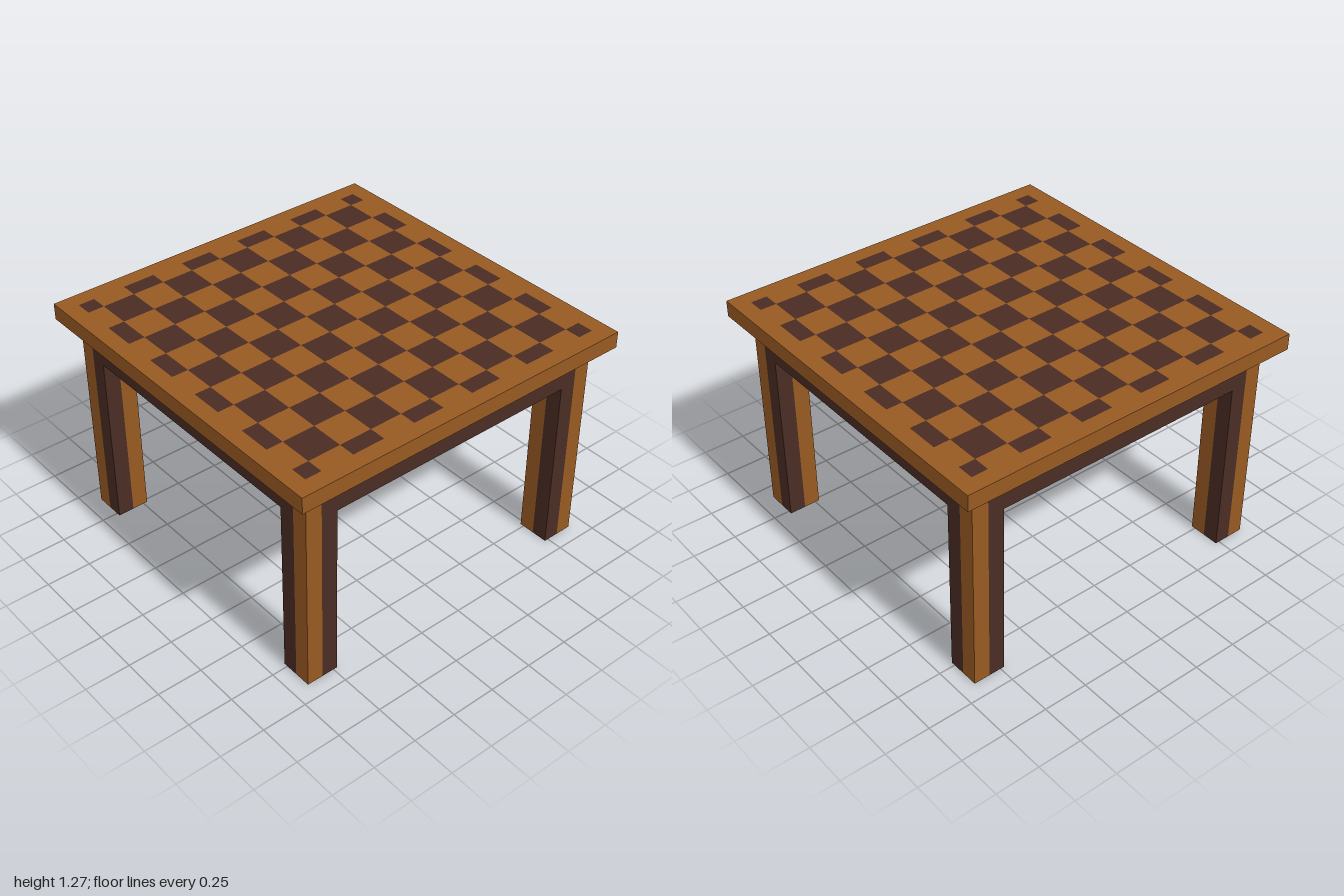
import * as THREE from 'three';
import { mergeGeometries } from 'three/addons/utils/BufferGeometryUtils.js';

const U = 1 / 11; // building module: the table is 22 modules wide, 14 high

export function createModel() {
  const lightWood = new THREE.MeshStandardMaterial({ color: 0x985a22 });
  lightWood.name = 'lightWood';
  const darkWood = new THREE.MeshStandardMaterial({ color: 0x4a2c24 });
  darkWood.name = 'darkWood';

  const table = new THREE.Group();
  table.name = 'table';

  function add(parent, name, geometry, material) {
    const mesh = new THREE.Mesh(geometry, material);
    mesh.name = name;
    parent.add(mesh);
    return mesh;
  }

  // Box given by its size and centre, in modules
  function box(w, h, d, x, y, z) {
    return new THREE.BoxGeometry(w * U, h * U, d * U).translate(x * U, y * U, z * U);
  }

  // Table top border: square frame around the checkered field
  const outline = new THREE.Shape();
  outline.moveTo(-11 * U, -11 * U).lineTo(11 * U, -11 * U).lineTo(11 * U, 11 * U).lineTo(-11 * U, 11 * U).closePath();
  const opening = new THREE.Path();
  opening.moveTo(-10 * U, -10 * U).lineTo(-10 * U, 10 * U).lineTo(10 * U, 10 * U).lineTo(10 * U, -10 * U).closePath();
  outline.holes.push(opening);
  const frame = new THREE.ExtrudeGeometry(outline, { depth: U, bevelEnabled: false });
  frame.rotateX(-Math.PI / 2).translate(0, 13 * U, 0);
  add(table, 'tableTopFrame', frame, lightWood);

  // Checkered field, same pattern above and below; outermost cells are half width
  const cells = { light: [], dark: [] };
  const span = (i) => [Math.max(2 * i - 1, -10), Math.min(2 * i + 1, 10)];
  for (let i = -5; i <= 5; i++) {
    for (let j = -5; j <= 5; j++) {
      const [x0, x1] = span(i);
      const [z0, z1] = span(j);
      const list = (i + j) % 2 === 0 ? cells.dark : cells.light;
      for (const [y, turn] of [[14, -1], [13, 1]]) {
        const cell = new THREE.PlaneGeometry((x1 - x0) * U, (z1 - z0) * U);
        cell.rotateX(turn * Math.PI / 2);
        list.push(cell.translate((x0 + x1) / 2 * U, y * U, (z0 + z1) / 2 * U));
      }
    }
  }
  add(table, 'lightSquares', mergeGeometries(cells.light), lightWood);
  add(table, 'darkSquares', mergeGeometries(cells.dark), darkWood);

  // Legs: four square staves each, light on the diagonal, dark beside it
  for (const sx of [-1, 1]) {
    for (const sz of [-1, 1]) {
      const leg = new THREE.Group();
      leg.name = (sz > 0 ? 'front' : 'back') + (sx > 0 ? 'Left' : 'Right') + 'Leg';
      const stave = (x, z) => box(1, 13, 1, sx * x, 6.5, sz * z);
      add(leg, 'lightStaves', mergeGeometries([stave(9.5, 9.5), stave(8.5, 8.5)]), lightWood);
      add(leg, 'darkStaves', mergeGeometries([stave(8.5, 9.5), stave(9.5, 8.5)]), darkWood);
      table.add(leg);
    }
  }

  // Apron rails between the legs, flush with their outer faces
  for (const s of [-1, 1]) {
    add(table, s > 0 ? 'frontApron' : 'backApron', box(16, 2, 1, 0, 12, s * 9.5), darkWood);
    add(table, s > 0 ? 'leftApron' : 'rightApron', box(1, 2, 16, s * 9.5, 12, 0), darkWood);
  }

  return table;
}
